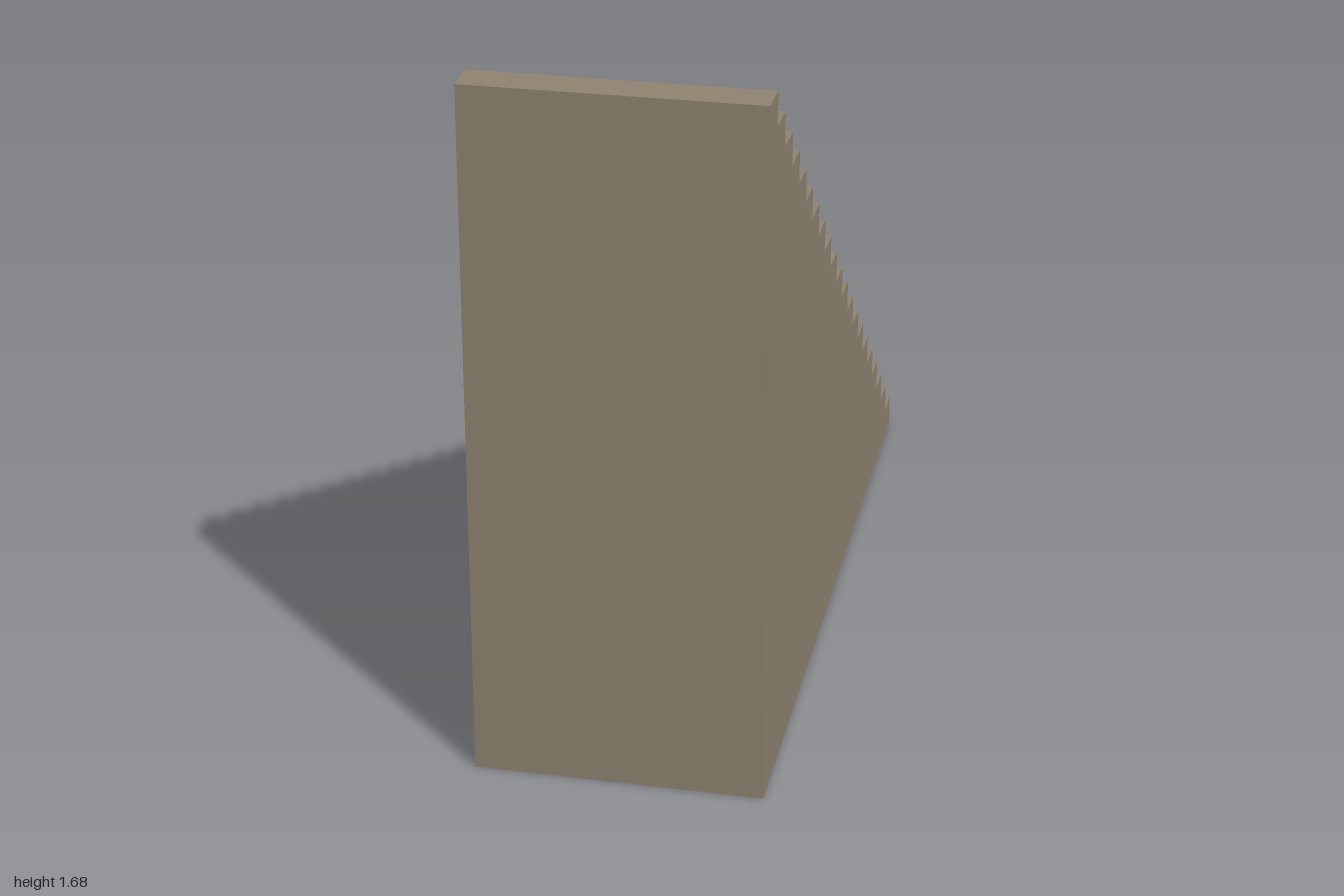
import * as THREE from 'three';

const STEPS = 21;
const RISE = 0.08;
const RUN = 0.0945;
const WIDTH = 0.68;

export function createModel() {
  const group = new THREE.Group();
  group.name = 'staircase';

  const stone = new THREE.MeshStandardMaterial({ color: 0x918571 });
  stone.name = 'brown stone';

  // Side profile (z, y): flat base, stepped climb from the back, slightly leaning front wall
  const profile = new THREE.Shape();
  profile.moveTo(1, 0);
  profile.lineTo(-1, 0);
  for (let i = 0; i < STEPS; i++) {
    const y = (i + 1) * RISE;
    profile.lineTo(-1 + i * RUN, y);
    profile.lineTo(-1 + (i + 1) * RUN, y);
  }
  profile.closePath();

  // Solid flight of steps, extruded across the width
  const geometry = new THREE.ExtrudeGeometry(profile, { depth: WIDTH, bevelEnabled: false });
  geometry.translate(0, 0, -WIDTH / 2);
  geometry.rotateY(-Math.PI / 2);

  const stairs = new THREE.Mesh(geometry, stone);
  stairs.name = 'solidStairs';
  group.add(stairs);
  return group;
}
